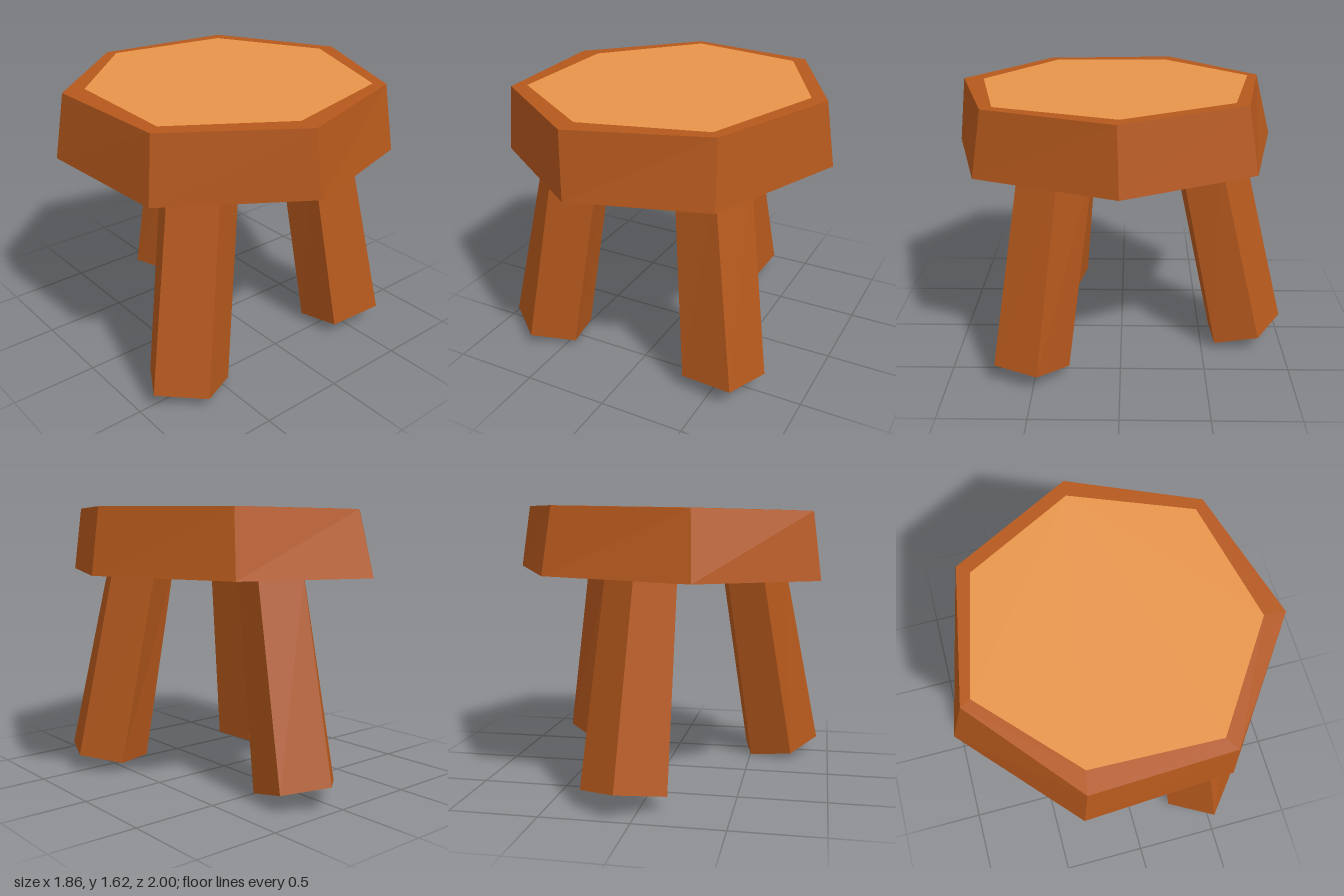
import * as THREE from 'three';

// Flat-shaded geometry from rings of [x, y, z] points, counter-clockwise from
// above and listed bottom to top; ends are closed on request.
function loft(rings, capBottom, capTop) {
  const pos = [];
  const tri = (a, b, c) => pos.push(...a, ...b, ...c);
  const n = rings[0].length;
  for (let r = 0; r < rings.length - 1; r++) {
    const lo = rings[r], hi = rings[r + 1];
    for (let i = 0; i < n; i++) {
      const j = (i + 1) % n;
      tri(lo[i], lo[j], hi[j]);
      tri(lo[i], hi[j], hi[i]);
    }
  }
  const first = rings[0], last = rings[rings.length - 1];
  for (let i = 1; i < n - 1; i++) {
    if (capBottom) tri(first[0], first[i + 1], first[i]);
    if (capTop) tri(last[0], last[i], last[i + 1]);
  }
  const g = new THREE.BufferGeometry();
  g.setAttribute('position', new THREE.Float32BufferAttribute(pos, 3));
  g.computeVertexNormals();
  return g;
}

export function createModel() {
  const group = new THREE.Group();
  const wood = new THREE.MeshStandardMaterial({ color: 0xb5581c, flatShading: true });
  const cutWood = new THREE.MeshStandardMaterial({ color: 0xe8954a, flatShading: true });
  const add = (name, geometry, material) => {
    const mesh = new THREE.Mesh(geometry, material);
    mesh.name = name;
    group.add(mesh);
  };

  // Seat: uneven, slightly tilted seven-sided slab
  const seatBottom = [
    [0.925, 1.25, 0], [0.54, 1.245, -0.74], [-0.30, 1.23, -0.92], [-0.93, 1.21, -0.345],
    [-0.885, 1.205, 0.50], [-0.18, 1.22, 0.995], [0.58, 1.235, 0.79],
  ];
  const seatTop = [
    [0.87, 1.62, 0.01], [0.50, 1.62, -0.68], [-0.28, 1.605, -0.82], [-0.88, 1.59, -0.31],
    [-0.85, 1.585, 0.485], [-0.20, 1.595, 0.955], [0.56, 1.61, 0.73],
  ];
  // Pale cut face, flush with the rim
  const inset = [
    [0.775, 0], [0.445, -0.615], [-0.25, -0.76], [-0.755, -0.285],
    [-0.775, 0.435], [-0.19, 0.835], [0.51, 0.675],
  ].map(([x, z]) => [x, 1.606 + 0.018 * x - 0.008 * z, z]);
  add('seat', loft([seatBottom, seatTop, inset], true, false), wood);
  add('seatTop', loft([inset], false, true), cutWood);

  // Legs: five-sided splayed posts, cut square to their axis at the foot
  const legs = {
    frontLeftLeg: {
      foot: [[0.34, 0.085, 0.67], [0.66, 0.12, 0.725], [0.765, 0.11, 0.47], [0.565, 0.06, 0.30], [0.315, 0.045, 0.405]],
      top: [[0.215, 0.52], [0.475, 0.56], [0.585, 0.335], [0.405, 0.15], [0.185, 0.27]],
    },
    frontRightLeg: {
      foot: [[-0.925, 0.09, 0.53], [-0.69, 0.065, 0.72], [-0.45, 0.02, 0.59], [-0.505, 0, 0.33], [-0.765, 0.04, 0.26]],
      top: [[-0.70, 0.40], [-0.51, 0.60], [-0.28, 0.475], [-0.34, 0.22], [-0.57, 0.16]],
    },
    backLeg: {
      foot: [[-0.155, 0.08, -0.79], [0, 0.02, -0.565], [0.27, 0.04, -0.58], [0.315, 0.105, -0.84], [0.09, 0.145, -1]],
      top: [[-0.16, -0.52], [-0.055, -0.30], [0.18, -0.335], [0.235, -0.565], [0.04, -0.72]],
    },
  };
  for (const [name, { foot, top }] of Object.entries(legs)) {
    add(name, loft([foot, top.map(([x, z]) => [x, 1.25, z])], true, true), wood);
  }
  return group;
}
